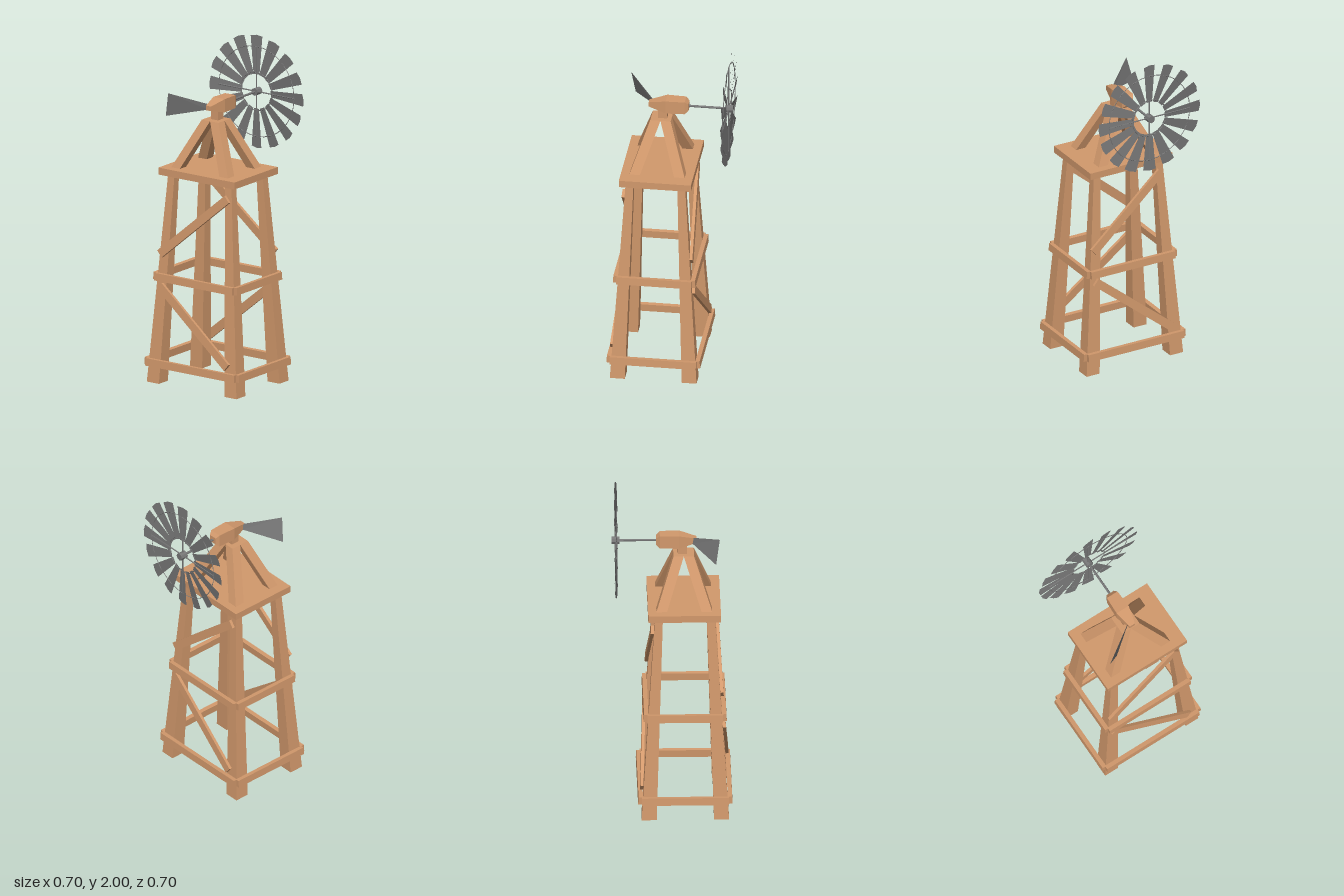
import * as THREE from 'three';

const wood = new THREE.MeshStandardMaterial({ color: 0xd2996c, flatShading: true });
const metal = new THREE.MeshStandardMaterial({ color: 0x777777, flatShading: true });
const sheet = new THREE.MeshStandardMaterial({ color: 0x777777, flatShading: true, side: THREE.DoubleSide });

function add(parent, name, geometry, material) {
  const mesh = new THREE.Mesh(geometry, material);
  mesh.name = name;
  parent.add(mesh);
  return mesh;
}

// Box with level ends, leaning and tapering from centre a (width wa) to centre b (width wb)
function leaningPost(a, wa, b, wb) {
  const g = new THREE.BoxGeometry(1, 1, 1);
  const p = g.attributes.position;
  for (let i = 0; i < p.count; i++) {
    const top = p.getY(i) > 0;
    const c = top ? b : a, w = top ? wb : wa;
    p.setXYZ(i, c[0] + p.getX(i) * w, c[1], c[2] + p.getZ(i) * w);
  }
  g.computeVertexNormals();
  return g;
}

// Flat plank from a to b, its thin side along the given outward direction
function plank(a, b, outward, width, thickness) {
  const from = new THREE.Vector3(...a), to = new THREE.Vector3(...b);
  const along = to.clone().sub(from);
  const g = new THREE.BoxGeometry(along.length(), width, thickness);
  along.normalize();
  const side = new THREE.Vector3().crossVectors(new THREE.Vector3(...outward), along).normalize();
  const out = new THREE.Vector3().crossVectors(along, side);
  const m = new THREE.Matrix4().makeBasis(along, side, out);
  m.setPosition(from.add(to).multiplyScalar(0.5));
  return g.applyMatrix4(m);
}

// Half-extents of the tower's outer faces at height y
const halfX = (y) => 0.255 - 0.064 * y;
const halfZ = (y) => 0.325 - 0.076 * y;

function buildTower() {
  const tower = new THREE.Group();
  tower.name = 'tower';
  tower.position.set(-0.073, 0, 0.008);

  // Four tapering legs
  for (const sx of [-1, 1]) for (const sz of [-1, 1]) {
    add(tower, 'leg', leaningPost(
      [sx * (halfX(0) - 0.044), 0, sz * (halfZ(0) - 0.044)], 0.088,
      [sx * (halfX(1.25) - 0.023), 1.25, sz * (halfZ(1.25) - 0.023)], 0.046), wood);
  }

  // Two rings of rails, leaning with the legs
  for (const y of [0.123, 0.637]) {
    const hx = halfX(y), hz = halfZ(y);
    for (const s of [-1, 1]) {
      const x = s * (hx + 0.014), z = s * (hz + 0.014);
      add(tower, 'sideRail', plank([x, y, -hz - 0.006], [x, y, hz + 0.006], [s, 0.064, 0], 0.045, 0.026), wood);
      add(tower, 'crossRail', plank([-hx - 0.006, y, z], [hx + 0.006, y, z], [0, 0.076, s], 0.045, 0.026), wood);
    }
  }

  // Diagonal braces on the two sides, the second side turned half a circle
  const braces = [[0.257, 0.775, -0.212, 1.175], [0.248, 0.585, -0.256, 0.178]];
  for (const s of [-1, 1]) for (const [z0, y0, z1, y1] of braces) {
    add(tower, 'brace', plank(
      [s * (halfX(y0) + 0.01), y0, s * z0], [s * (halfX(y1) + 0.01), y1, s * z1],
      [s, 0.064, 0], 0.05, 0.018), wood);
  }

  // Platform
  add(tower, 'platform', new THREE.BoxGeometry(0.424, 0.042, 0.552), wood).position.set(0.003, 1.27, 0);
  return tower;
}

function buildHead() {
  const head = new THREE.Group();
  head.name = 'head';
  head.position.set(-0.069, 0, -0.006);

  // Four struts meeting above the platform
  for (const sx of [-1, 1]) for (const sz of [-1, 1]) {
    add(head, 'strut', leaningPost([sx * 0.132, 1.29, sz * 0.175], 0.062,
      [sx * 0.03, 1.58, sz * 0.03], 0.06), wood);
  }
  add(head, 'pivotPost', new THREE.BoxGeometry(0.052, 0.06, 0.052), wood).position.set(0.008, 1.605, 0);

  // Gear housing: a box narrowing at both ends [x, half height, half width]
  const stations = [[-0.075, 0.014, 0.018], [0.028, 0.04, 0.042], [0.139, 0.039, 0.037], [0.16, 0.021, 0.025]];
  const g = new THREE.BoxGeometry(3, 2, 2, 3, 1, 1);
  const p = g.attributes.position;
  for (let i = 0; i < p.count; i++) {
    const [x, hy, hz] = stations[Math.round(p.getX(i) + 1.5)];
    p.setXYZ(i, x, 1.661 + p.getY(i) * hy, p.getZ(i) * hz);
  }
  g.computeVertexNormals();
  add(head, 'gearHousing', g, wood);

  // Tail vane, swung back and slightly tilted
  const vane = new THREE.BufferGeometry();
  vane.setAttribute('position', new THREE.Float32BufferAttribute([
    -0.05, 1.645, -0.02, -0.056, 1.68, -0.018, -0.207, 1.75, -0.195, -0.185, 1.603, -0.228], 3));
  vane.setIndex([0, 1, 2, 0, 2, 3]);
  vane.computeVertexNormals();
  add(head, 'tailVane', vane, sheet);
  return head;
}

function buildWheel() {
  const wheel = new THREE.Group();
  wheel.name = 'windWheel';
  wheel.position.set(0.325, 1.66, -0.006);

  add(wheel, 'shaft', new THREE.CylinderGeometry(0.007, 0.007, 0.25, 8).rotateZ(Math.PI / 2), metal).position.x = -0.125;
  add(wheel, 'hub', new THREE.CylinderGeometry(0.023, 0.023, 0.047, 8).rotateZ(Math.PI / 2), metal).position.x = 0.003;

  // Sixteen pitched blades widening outwards
  const outline = new THREE.Shape([[-0.02, 0.103], [0.02, 0.103], [0.039, 0.335], [0, 0.342], [-0.039, 0.335]]
    .map(([x, y]) => new THREE.Vector2(x, y)));
  const blade = new THREE.ShapeGeometry(outline).rotateY(Math.PI / 2 + 0.13);
  for (let i = 0; i < 16; i++) {
    add(wheel, 'blade', blade, sheet).rotation.x = i * Math.PI / 8;
  }

  // Carrier rings and spokes
  for (const r of [0.115, 0.272]) {
    add(wheel, 'carrierRing', new THREE.TorusGeometry(r, 0.0025, 4, 32).rotateY(Math.PI / 2), metal);
  }
  for (let i = 0; i < 4; i++) {
    const spoke = new THREE.CylinderGeometry(0.004, 0.004, 0.26, 5).translate(0, 0.142, 0);
    add(wheel, 'spoke', spoke, metal).rotation.x = i * Math.PI / 2;
  }
  return wheel;
}

export function createModel() {
  const model = new THREE.Group();
  model.name = 'windPump';
  model.add(buildTower(), buildHead(), buildWheel());
  return model;
}
